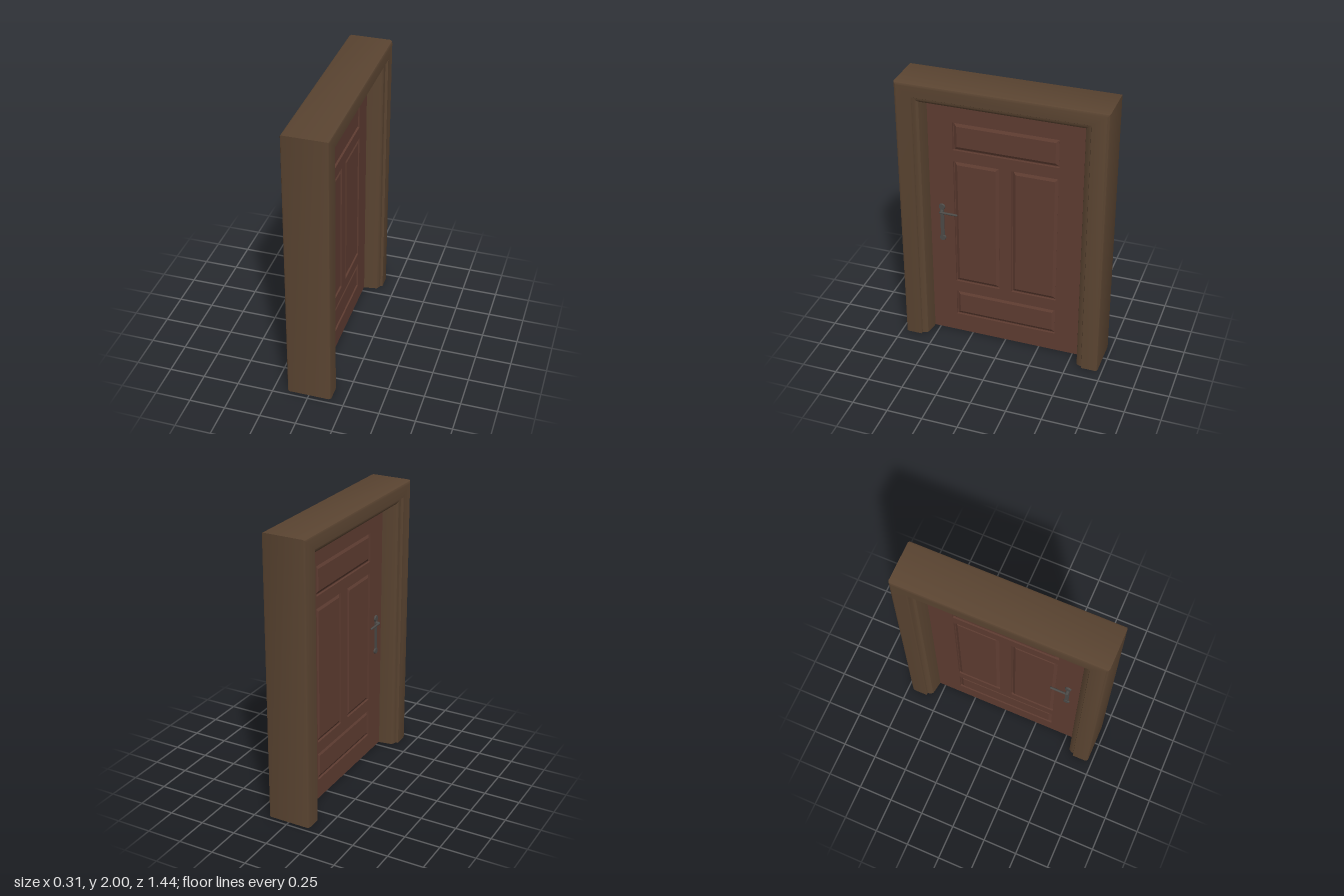
import * as THREE from 'three';
import { toCreasedNormals } from 'three/addons/utils/BufferGeometryUtils.js';

const frameMat = new THREE.MeshStandardMaterial({ color: 0x5a4431 });
const doorMat = new THREE.MeshStandardMaterial({ color: 0x5e3c31 });
const metalMat = new THREE.MeshStandardMaterial({ color: 0x4c4a47 });

function add(parent, name, geometry, material) {
  const mesh = new THREE.Mesh(geometry, material);
  mesh.name = name;
  parent.add(mesh);
  return mesh;
}

// Half of the frame section: [x, half width], from the outer edge to the inner edge
const half = [
  [0.137, 0.718], [0.149, 0.713], [0.155, 0.7], [0.155, 0.602], [0.152, 0.6],
  [0.137, 0.598], [0.136, 0.59], [0.131, 0.575], [0.121, 0.561], [0.112, 0.558], [0.03, 0.545],
];
const section = [...half, ...half.map(([x, w]) => [-x, w]).reverse()];

// Frame: the section runs up one jamb, across the head with mitres, and down the other
function frameGeometry() {
  const ring = ([x, w]) => {
    const top = w > 0.65 ? w + 1.282 : w + 1.305;
    return [[x, 0, w], [x, top, w], [x, top, -w], [x, 0, -w]];
  };
  const pos = [];
  section.forEach((p, i) => {
    const a = ring(p), b = ring(section[(i + 1) % section.length]);
    for (let k = 0; k < 3; k++) {
      pos.push(...a[k], ...b[k], ...b[k + 1], ...a[k], ...b[k + 1], ...a[k + 1]);
    }
  });
  const g = new THREE.BufferGeometry();
  g.setAttribute('position', new THREE.Float32BufferAttribute(pos, 3));
  return toCreasedNormals(g, 0.6);
}

function rect(x0, x1, y0, y1, Type = THREE.Shape) {
  const s = new Type();
  s.moveTo(x0, y0);
  s.lineTo(x1, y0);
  s.lineTo(x1, y1);
  s.lineTo(x0, y1);
  s.closePath();
  return s;
}

// Extrude a shape through the door, centred on x = 0
function throughDoor(shape, depth, bevelSize = 0, bevelThickness = 0) {
  const g = new THREE.ExtrudeGeometry(shape, {
    depth, bevelEnabled: bevelSize > 0, bevelSize, bevelThickness, bevelSegments: 1,
  });
  return g.translate(0, 0, -depth / 2).rotateY(Math.PI / 2);
}

function buildDoor() {
  const door = new THREE.Group();
  door.name = 'door';
  // Panel openings: x0, x1, y0, y1 across the face
  const panels = [
    [-0.368, 0.368, 1.495, 1.7],
    [-0.368, -0.044, 0.438, 1.41],
    [0.044, 0.368, 0.438, 1.41],
    [-0.368, 0.368, 0.148, 0.35],
  ];
  const slab = rect(-0.543, 0.543, 0.005, 1.838);
  slab.holes = panels.map((p) => rect(...p, THREE.Path));
  add(door, 'stilesAndRails', throughDoor(slab, 0.052), doorMat);
  const core = new THREE.BoxGeometry(0.022, 1.62, 0.8).translate(0, 0.92, 0);
  add(door, 'panelBacking', core, doorMat);
  // Raised panels, bevelled down to the recess on both faces
  for (const [x0, x1, y0, y1] of panels) {
    const d = 0.027;
    const field = rect(x0 + d, x1 - d, y0 + d, y1 - d);
    add(door, 'raisedPanel', throughDoor(field, 0.024, 0.021, 0.012), doorMat);
  }
  return door;
}

// Handle on the +x face
function buildHandle() {
  const handle = new THREE.Group();
  handle.name = 'handle';
  const disc = (name, r, depth, y) => {
    const m = add(handle, name, new THREE.CylinderGeometry(r * 0.85, r, depth, 24), metalMat);
    m.rotation.z = -Math.PI / 2;
    m.position.set(0.024 + depth / 2, y, 0.458);
  };
  add(handle, 'backPlate', new THREE.BoxGeometry(0.01, 0.25, 0.026).translate(0.029, 0.915, 0.458), metalMat);
  disc('upperRose', 0.024, 0.013, 1.04);
  disc('lowerRose', 0.024, 0.013, 0.79);
  disc('spindle', 0.013, 0.034, 1.005);
  // Lever with a rounded tip, pointing toward the middle of the door
  const lever = add(handle, 'lever', new THREE.CapsuleGeometry(0.008, 0.115, 6, 16), metalMat);
  lever.rotation.x = Math.PI / 2;
  lever.position.set(0.054, 1.005, 0.402);
  return handle;
}

export function createModel() {
  const model = new THREE.Group();
  model.name = 'doorway';

  const frame = new THREE.Group();
  frame.name = 'frame';
  add(frame, 'frameTrim', frameGeometry(), frameMat);
  // Feet of the jambs
  const foot = new THREE.ShapeGeometry(new THREE.Shape(section.map(([x, w]) => new THREE.Vector2(x, w))));
  foot.rotateX(Math.PI / 2);
  add(frame, 'leftJambFoot', foot, frameMat);
  add(frame, 'rightJambFoot', foot, frameMat).rotation.y = Math.PI;
  model.add(frame, buildDoor());

  // One handle per face, mirrored through the door
  const handle = buildHandle();
  const backHandle = buildHandle();
  backHandle.scale.x = -1;
  model.add(handle, backHandle);
  return model;
}
